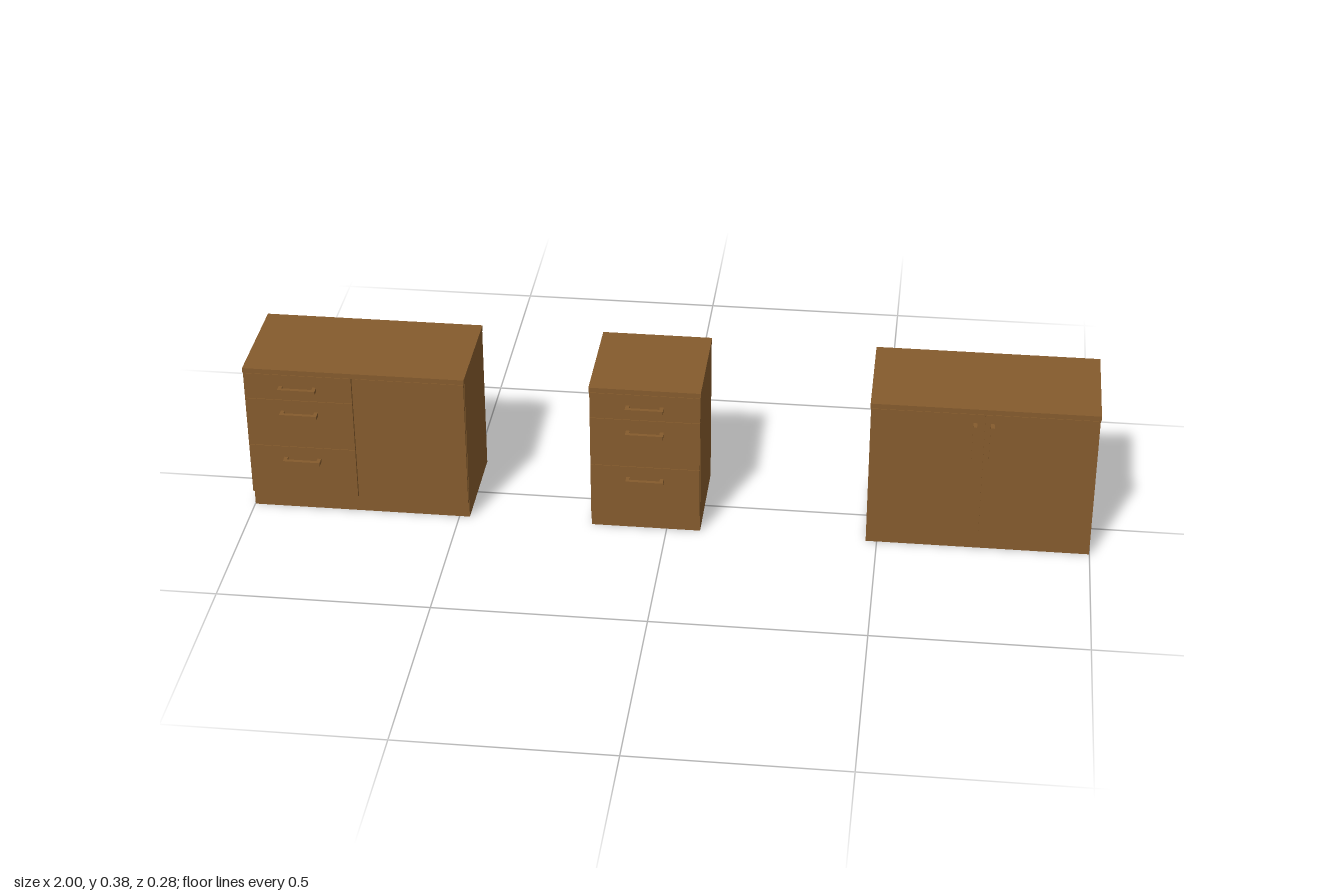
import * as THREE from 'three';

const wood = new THREE.MeshStandardMaterial({ color: 0x855b2d });
wood.name = 'brown wood';

const BACK = -0.14, BODY_FRONT = 0.112, FRONT_IN = 0.115, FRONT_OUT = 0.123;
const FRONT_LOW = 0.043, FRONT_TOP = 0.371, GAP = 0.0006;

// Box given by its extents along each axis
function box(parent, name, x0, x1, y0, y1, z0, z1) {
  const mesh = new THREE.Mesh(new THREE.BoxGeometry(x1 - x0, y1 - y0, z1 - z0), wood);
  mesh.position.set((x0 + x1) / 2, (y0 + y1) / 2, (z0 + z1) / 2);
  mesh.name = name;
  parent.add(mesh);
}

// Carcass and worktop
function cabinet(root, name, x0, x1) {
  const g = new THREE.Group();
  g.name = name;
  box(g, 'carcass', x0 + 0.001, x1 - 0.001, 0, 0.3715, BACK, BODY_FRONT);
  box(g, 'worktop', x0, x1, 0.3725, 0.385, -0.141, 0.125);
  root.add(g);
  return g;
}

function frontPanel(g, name, x0, x1, y0, y1) {
  box(g, name, x0 + GAP, x1 - GAP, y0 + GAP, y1 - GAP, FRONT_IN, FRONT_OUT);
}

// Square bar handle with two posts, lying flat or upright
function handle(g, x, y, upright) {
  const h = new THREE.Group();
  h.name = 'handle';
  const half = 0.0445, t = 0.0045;
  const part = (name, a0, a1, z0, z1) => upright
    ? box(h, name, -t, t, a0, a1, z0, z1)
    : box(h, name, a0, a1, -t, t, z0, z1);
  part('handleBar', -half, half, 0.134, 0.143);
  part('handlePost', -half, -half + 0.009, FRONT_OUT, 0.134);
  part('handlePost', half - 0.009, half, FRONT_OUT, 0.134);
  h.position.set(x, y, 0);
  g.add(h);
}

// Stack of three drawers, each with a handle near its top
function drawers(g, x0, x1) {
  const edges = [FRONT_TOP, 0.303, 0.175, FRONT_LOW];
  for (let i = 0; i < 3; i++) {
    frontPanel(g, 'drawerFront', x0, x1, edges[i + 1], edges[i]);
    handle(g, (x0 + x1) / 2, edges[i] - 0.034, false);
  }
}

export function createModel() {
  const root = new THREE.Group();
  root.name = 'cabinetSet';

  // Wide cabinet with drawers and a plain door
  const a = cabinet(root, 'drawerAndDoorCabinet', -1, -0.474);
  drawers(a, -1, -0.742);
  frontPanel(a, 'door', -0.732, -0.475, FRONT_LOW, FRONT_TOP);
  box(a, 'divider', -0.741, -0.733, FRONT_LOW, FRONT_TOP, BODY_FRONT, 0.116);

  // Narrow drawer cabinet
  const b = cabinet(root, 'drawerCabinet', -0.181, 0.081);
  drawers(b, -0.18, 0.08);

  // Wide cabinet with two doors
  const c = cabinet(root, 'doubleDoorCabinet', 0.473, 1);
  frontPanel(c, 'door', 0.474, 0.7365, FRONT_LOW, FRONT_TOP);
  frontPanel(c, 'door', 0.7365, 0.999, FRONT_LOW, FRONT_TOP);
  for (const s of [-1, 1]) handle(c, 0.7345 + s * 0.02, 0.303, true);
  box(c, 'backDivider', 0.734, 0.739, FRONT_LOW, FRONT_TOP, BACK - 0.0005, BACK + 0.01);

  return root;
}
